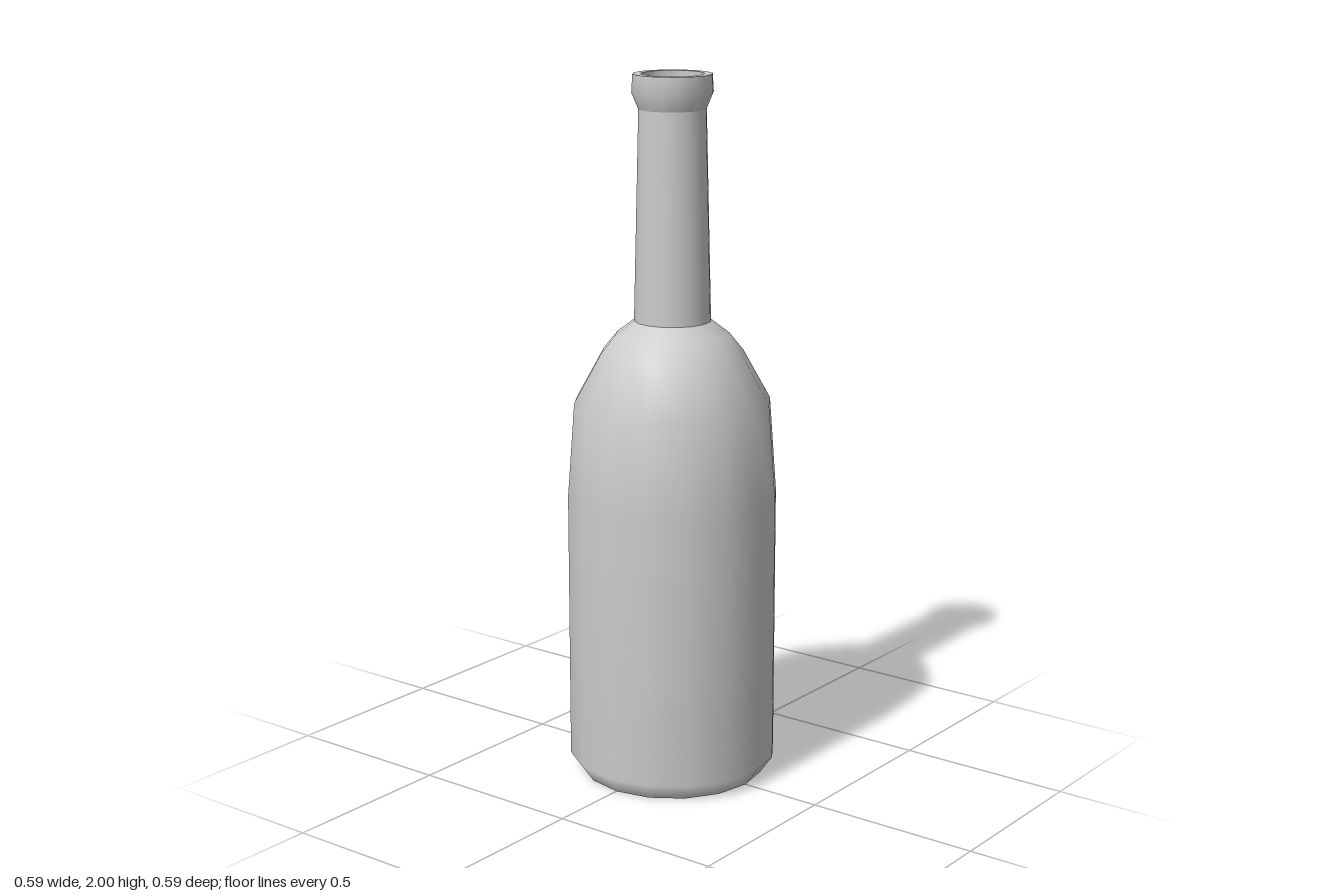
import * as THREE from 'three';

const SIDES = 16;

export function createModel() {
  const bottle = new THREE.Group();
  bottle.name = 'bottle';
  const material = new THREE.MeshStandardMaterial({ color: 0xcccccc });

  // Each part is a turned profile of [radius, height] points; seams between parts stay sharp.
  const turn = (name, profile) => {
    const points = profile.map(([r, y]) => new THREE.Vector2(r, y));
    const mesh = new THREE.Mesh(new THREE.LatheGeometry(points, SIDES), material);
    mesh.name = name;
    bottle.add(mesh);
  };

  // Flat underside
  turn('base', [[0, 0], [0.262, 0]]);

  // Chamfered foot, straight wall, slight taper and rounded shoulder
  turn('body', [
    [0.262, 0], [0.297, 0.05], [0.297, 0.82], [0.277, 1.09],
    [0.2, 1.23], [0.16, 1.28], [0.108, 1.32],
  ]);

  // Tapered neck flaring into the lip
  turn('neck', [[0.108, 1.32], [0.094, 1.905]]);
  turn('lip', [[0.094, 1.905], [0.113, 1.95], [0.11, 2]]);
  turn('rim', [[0.11, 2], [0.087, 2]]);

  // Hollow inside: bore, shoulder and wall
  turn('innerWall', [
    [0.087, 2], [0.087, 1.32], [0.18, 1.23], [0.255, 1.09],
    [0.275, 0.82], [0.275, 0.05], [0.25, 0.02],
  ]);

  // Gently domed floor seen through the mouth
  turn('innerFloor', [[0.25, 0.02], [0.09, 0.05], [0.045, 0.08], [0, 0.09]]);

  return bottle;
}
